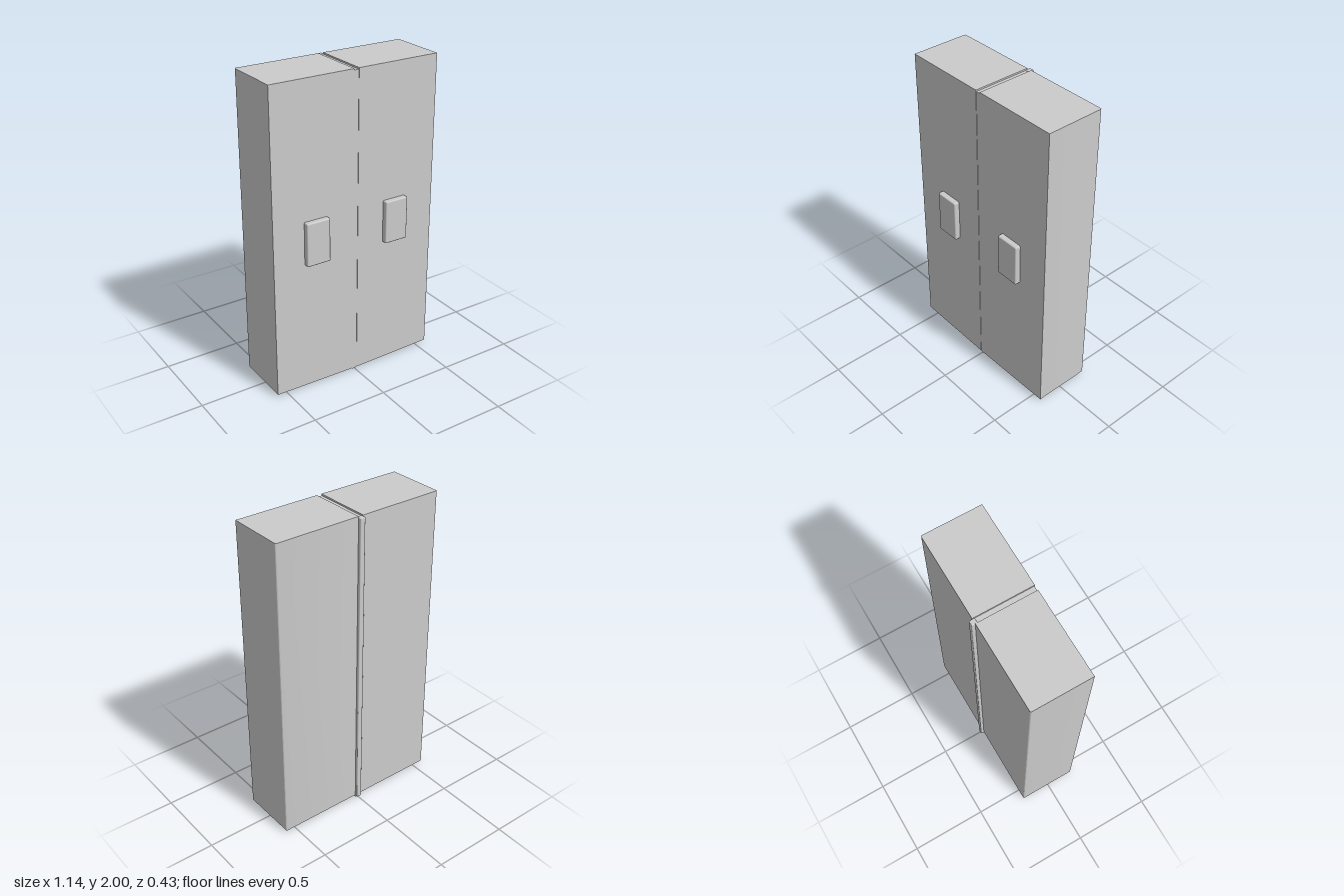
import * as THREE from 'three';
import { toCreasedNormals } from 'three/addons/utils/BufferGeometryUtils.js';
import { RoundedBoxGeometry } from 'three/addons/geometries/RoundedBoxGeometry.js';

const W = 0.57, GAP = 0.016, FRONT = 0.18, BACK = -0.197, TOP = 2;

export function createModel() {
  const group = new THREE.Group();
  group.name = 'doubleDoor';
  const material = new THREE.MeshStandardMaterial({ color: 0xcccccc });

  const add = (name, geometry, x = 0, y = 0, z = 0) => {
    const mesh = new THREE.Mesh(geometry, material);
    mesh.name = name;
    mesh.position.set(x, y, z);
    group.add(mesh);
  };

  // Door leaf: plan outline with a softened outer back corner, raised along y
  const leafGeometry = (side) => {
    const r = 0.01;
    const s = new THREE.Shape();
    s.moveTo(side * GAP, -FRONT);
    s.lineTo(side * W, -FRONT);
    s.lineTo(side * W, -BACK - r);
    s.quadraticCurveTo(side * W, -BACK, side * (W - r), -BACK);
    s.lineTo(side * GAP, -BACK);
    s.closePath();
    const g = new THREE.ExtrudeGeometry(s, { depth: TOP, bevelEnabled: false, curveSegments: 4 });
    g.rotateX(-Math.PI / 2);
    // The lower edge dips slightly towards the middle at the front
    const p = g.attributes.position;
    for (let i = 0; i < p.count; i++) {
      if (p.getY(i) > 1) continue;
      const inner = 1 - Math.abs(p.getX(i)) / W;
      const front = (p.getZ(i) - BACK) / (FRONT - BACK);
      p.setY(i, 0.016 - 0.01 * inner * front);
    }
    return toCreasedNormals(g, 0.6);
  };

  for (const [side, label] of [[1, 'left'], [-1, 'right']]) {
    add(label + 'Leaf', leafGeometry(side));
    // Raised push plate
    add(label + 'PushPlate', new RoundedBoxGeometry(0.16, 0.28, 0.045, 3, 0.008), side * 0.281, 1, 0.1925);
  }

  // Filler set just behind the front faces, closing the joint between the leaves
  const depth = 0.177 - BACK;
  add('centreJoint', new THREE.BoxGeometry(GAP * 2, 1.99, depth), 0, 0.995, BACK + depth / 2);

  // Narrow rounded cover strip along the back of the joint
  add('backCoverStrip', new RoundedBoxGeometry(0.034, 1.985, 0.036, 3, 0.006), 0, 1.0025, -0.2);

  return group;
}
